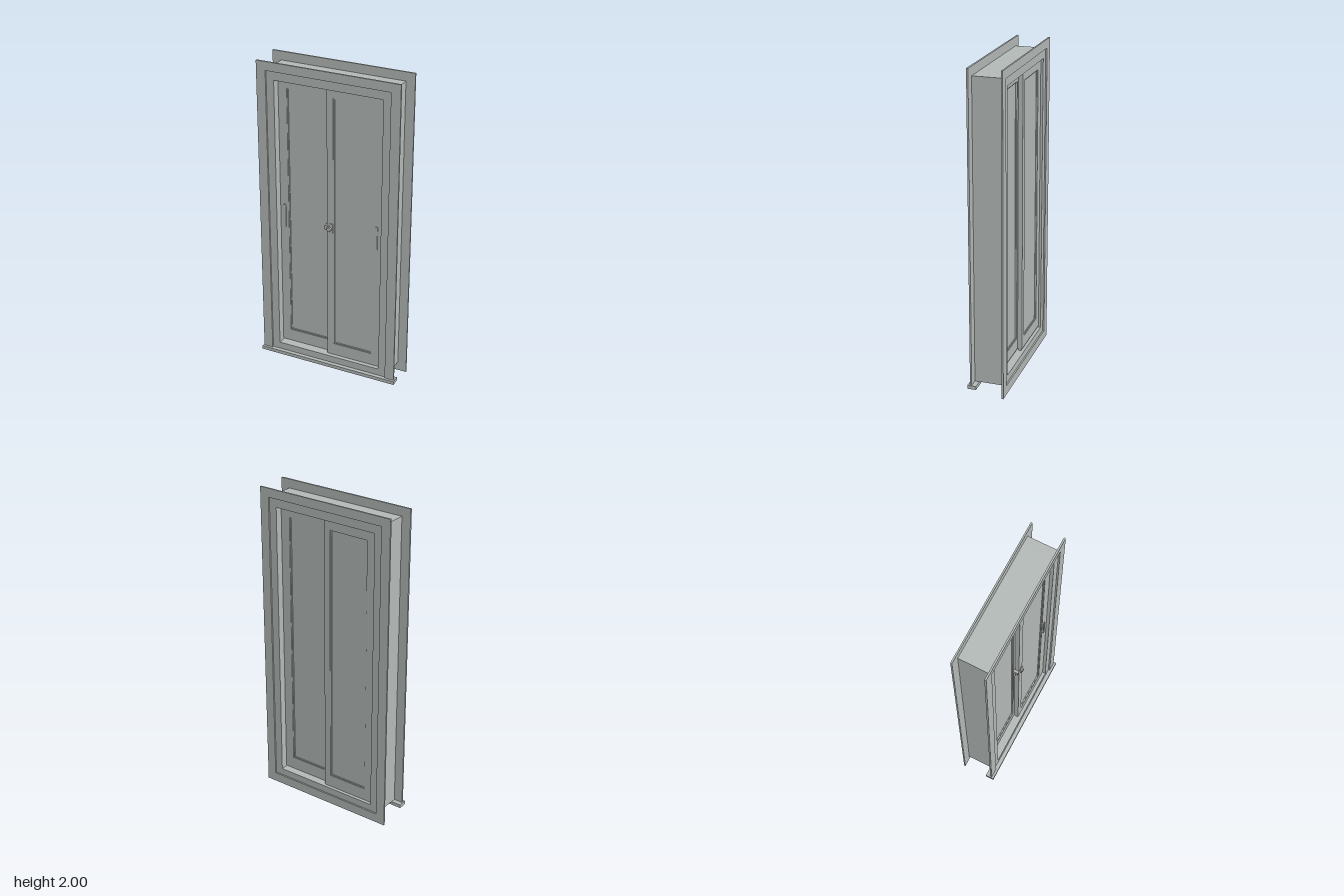
import * as THREE from 'three';

export function createModel() {
  const model = new THREE.Group();
  model.name = 'slidingWindow';
  const paint = new THREE.MeshStandardMaterial({ color: 0xb4bab8 });
  paint.name = 'paleGrey';

  const add = (parent, name, geometry) => {
    const mesh = new THREE.Mesh(geometry, paint);
    mesh.name = name;
    parent.add(mesh);
    return mesh;
  };
  // Box given by its limits on each axis
  const box = (parent, name, x0, x1, y0, y1, z0, z1) => {
    const mesh = add(parent, name, new THREE.BoxGeometry(x1 - x0, y1 - y0, z1 - z0));
    mesh.position.set((x0 + x1) / 2, (y0 + y1) / 2, (z0 + z1) / 2);
    return mesh;
  };
  // Flat plate with the given outline, from z0 to z1
  const plate = (parent, name, points, z0, z1) => {
    const shape = new THREE.Shape(points.map(([x, y]) => new THREE.Vector2(x, y)));
    const mesh = add(parent, name, new THREE.ExtrudeGeometry(shape, { depth: z1 - z0, bevelEnabled: false }));
    mesh.position.z = z0;
    return mesh;
  };

  // Mitred casing: outer and inner limits of the surround
  const OX = 0.455, IX = 0.395, TOP = 2, IT = 1.945;
  const casing = (name, z0, z1, bottom, innerBottom) => {
    const group = new THREE.Group();
    group.name = name;
    model.add(group);
    for (const s of [-1, 1]) {
      plate(group, 'sideCasing', [[s * OX, bottom], [s * OX, TOP], [s * IX, IT], [s * IX, innerBottom]], z0, z1);
    }
    plate(group, 'topCasing', [[-OX, TOP], [-IX, IT], [IX, IT], [OX, TOP]], z0, z1);
    if (innerBottom > bottom) {
      plate(group, 'bottomCasing', [[-OX, bottom], [OX, bottom], [IX, innerBottom], [-IX, innerBottom]], z0, z1);
    }
  };
  casing('frontCasing', 0.085, 0.096, 0.06, 0.06);
  casing('backCasing', -0.114, -0.104, 0, 0.06);

  // Deep frame lining the wall opening
  const frame = new THREE.Group();
  frame.name = 'frame';
  model.add(frame);
  for (const s of [-1, 1]) {
    box(frame, 'jamb', s < 0 ? -0.398 : 0.346, s < 0 ? -0.346 : 0.398, 0.06, 1.945, -0.105, 0.086);
  }
  box(frame, 'head', -0.346, 0.346, 1.89, 1.945, -0.105, 0.086);
  box(frame, 'threshold', -0.346, 0.346, 0.06, 0.105, -0.105, 0.086);

  // Projecting sill board
  box(model, 'sill', -0.462, 0.462, 0.037, 0.06, 0.056, 0.111);

  // One sliding sash: rails, stiles, glazing bead, pane and bottom runner
  const sash = (name, x0, x1, g0, g1, z0, z1) => {
    const group = new THREE.Group();
    group.name = name;
    model.add(group);
    const y0 = 0.115, y1 = 1.89, b0 = 0.19, b1 = 1.835, bead = 0.006;
    box(group, 'stile', x0, g0, y0, y1, z0, z1);
    box(group, 'stile', g1, x1, y0, y1, z0, z1);
    box(group, 'bottomRail', g0, g1, y0, b0, z0, z1);
    box(group, 'topRail', g0, g1, b1, y1, z0, z1);
    const ring = new THREE.Shape([[g0, b0], [g1, b0], [g1, b1], [g0, b1]].map(p => new THREE.Vector2(...p)));
    ring.holes.push(new THREE.Path([
      [g0 + bead, b0 + bead], [g0 + bead, b1 - bead], [g1 - bead, b1 - bead], [g1 - bead, b0 + bead],
    ].map(p => new THREE.Vector2(...p))));
    add(group, 'glazingBead', new THREE.ExtrudeGeometry(ring, { depth: z1 - z0 - 0.008, bevelEnabled: false }))
      .position.z = z0 + 0.004;
    const mid = (z0 + z1) / 2;
    box(group, 'pane', g0, g1, b0, b1, mid - 0.004, mid + 0.004);
    box(group, 'runner', x0, x1, 0.105, y0, z0 + 0.005, z1 - 0.005);
  };
  // Front and back pairs; the left-hand view sash of each runs on the rear track
  for (const [pair, z] of [['front', 0.036], ['back', -0.061]]) {
    sash(pair + 'RearTrackSash', -0.346, 0.012, -0.29, -0.03, z - 0.029, z - 0.001);
    sash(pair + 'ForwardTrackSash', -0.016, 0.346, 0.026, 0.286, z + 0.001, z + 0.029);
  }

  // Slim pulls on the outer stiles
  for (const [x, z] of [[-0.315, 0.035], [0.31, 0.065]]) {
    box(model, 'pull', x - 0.007, x + 0.007, 0.93, 1.08, z - 0.001, z + 0.006);
  }

  // Crescent lock where the sashes meet
  const lock = new THREE.Group();
  lock.name = 'lock';
  model.add(lock);
  box(lock, 'lockPlate', 0.001, 0.023, 0.97, 1.033, 0.064, 0.07);
  const hub = add(lock, 'lockHub', new THREE.CylinderGeometry(0.012, 0.012, 0.014, 20));
  hub.rotation.x = Math.PI / 2;
  hub.position.set(0.006, 1, 0.076);
  const crescent = new THREE.Shape();
  crescent.absarc(0, 0, 0.019, Math.PI / 2, Math.PI * 1.5, false);
  crescent.lineTo(0, 0.019);
  const cam = add(lock, 'lockCam', new THREE.ExtrudeGeometry(crescent, { depth: 0.008, bevelEnabled: false, curveSegments: 12 }));
  cam.position.set(0.004, 1, 0.07);
  box(lock, 'lockKeeper', -0.032, -0.017, 0.985, 1.015, 0.034, 0.066);

  return model;
}
